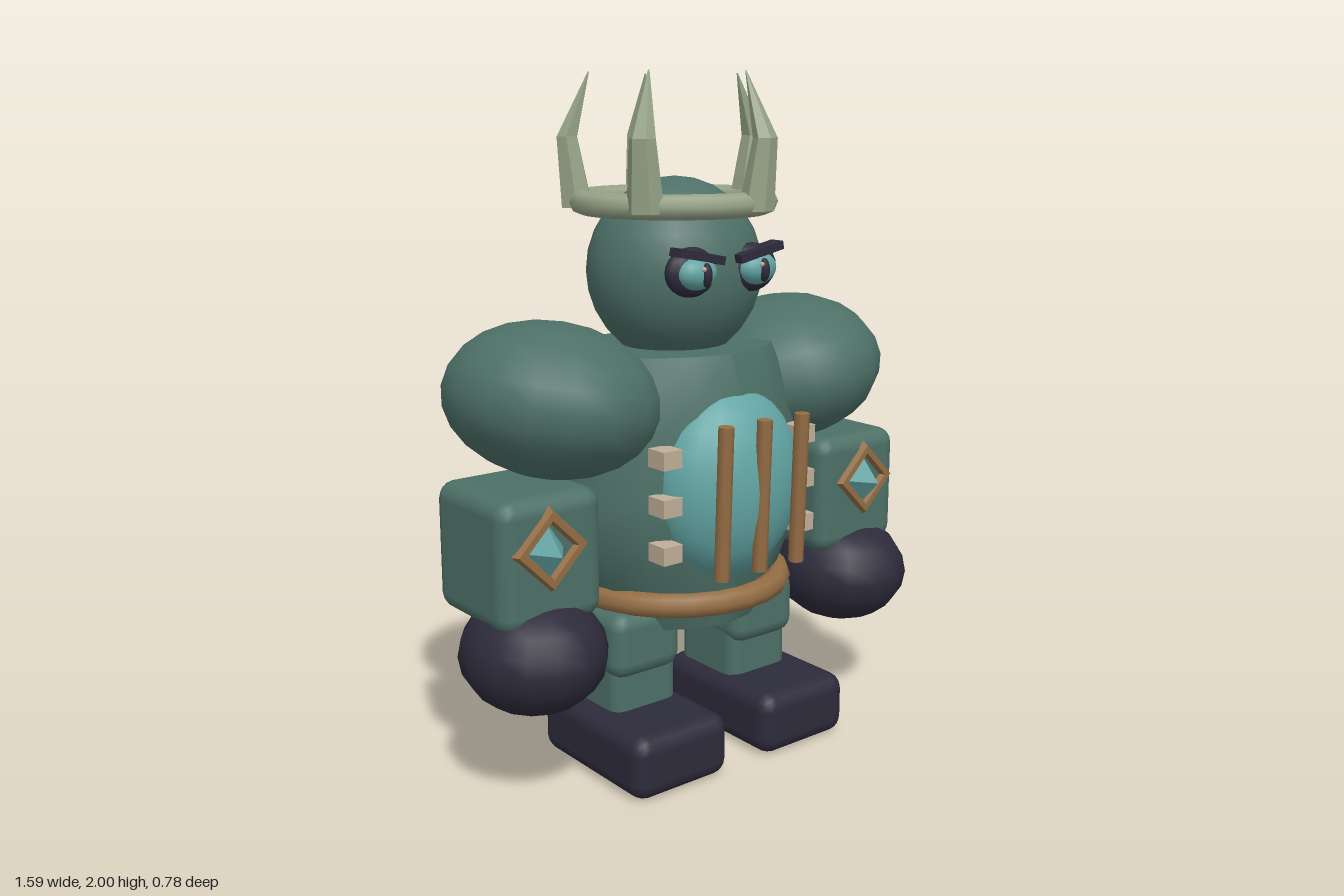
import * as THREE from 'three';
import { RoundedBoxGeometry } from 'three/addons/geometries/RoundedBoxGeometry.js';

const paint = (name, color) => {
  const m = new THREE.MeshStandardMaterial({ color });
  m.name = name;
  return m;
};

// Cylinder reshaped ring by ring; each ring is [y, rx, rz, xOffset], bottom to top
function loft(rings, sides) {
  const g = new THREE.CylinderGeometry(1, 1, 1, sides, rings.length - 1);
  const p = g.attributes.position;
  for (let i = 0; i < p.count; i++) {
    const [y, rx, rz, dx = 0] = rings[Math.round((p.getY(i) + 0.5) * (rings.length - 1))];
    p.setXYZ(i, p.getX(i) * rx + dx, y, p.getZ(i) * rz);
  }
  g.computeVertexNormals();
  return g;
}

function faceted(g) {
  const f = g.index ? g.toNonIndexed() : g;
  f.computeVertexNormals();
  return f;
}

export function createModel() {
  const model = new THREE.Group();
  const skin = paint('deep green skin', 0x4d7067);
  const dark = paint('dark plum', 0x2d2b3b);
  const aqua = paint('turquoise', 0x62a5a4);
  const bronze = paint('bronze', 0x946d44);
  const horn = paint('pale green horn', 0x97a488);
  const cream = paint('cream', 0xc0ae98);

  function add(name, geometry, material, x, y, z, parent = model) {
    const m = new THREE.Mesh(geometry, material);
    m.name = name;
    m.position.set(x, y, z);
    parent.add(m);
    return m;
  }
  function ball(name, material, x, y, z, rx, ry, rz, w = 16, h = 12) {
    const m = add(name, new THREE.SphereGeometry(1, w, h), material, x, y, z);
    m.scale.set(rx, ry, rz);
    return m;
  }
  const block = (name, material, x, y, z, w, h, d, r) =>
    add(name, new RoundedBoxGeometry(w, h, d, 2, r), material, x, y, z);

  // Torso, belt and head
  add('torso', loft([
    [0.42, 0.255, 0.25], [0.56, 0.34, 0.285], [0.70, 0.405, 0.318], [0.82, 0.41, 0.322],
    [1.0, 0.385, 0.315], [1.12, 0.355, 0.30], [1.225, 0.31, 0.26],
  ], 16), skin, 0, 0, -0.035);
  add('belt', new THREE.TorusGeometry(0.315, 0.037, 8, 24), bronze, 0, 0.517, -0.035)
    .rotation.x = Math.PI / 2;
  ball('head', skin, 0, 1.44, -0.035, 0.265, 0.27, 0.245, 20, 14);

  // Belly with three bars and side studs
  ball('belly', aqua, 0, 0.85, 0.2, 0.245, 0.285, 0.172, 20, 14);
  for (const x of [-0.14, 0, 0.14]) {
    add('bellyBar', new THREE.CylinderGeometry(0.022, 0.022, 0.44, 8), bronze, x, 0.84, 0.36)
      .rotation.x = 0.035;
  }

  // Crown ring with five bent horns
  const crown = new THREE.Group();
  crown.name = 'crown';
  crown.position.set(0, 0, -0.04);
  model.add(crown);
  add('crownRing', new THREE.TorusGeometry(0.268, 0.035, 8, 28), horn, 0, 1.637, 0, crown)
    .rotation.x = Math.PI / 2;
  const hornShape = faceted(loft([
    [1.62, 0.05, 0.054, 0.277], [1.82, 0.033, 0.038, 0.304], [2.0, 0.002, 0.002, 0.24],
  ], 6));
  for (let i = 0; i < 5; i++) {
    add('crownHorn', hornShape, horn, 0, 0, 0, crown).rotation.y = i * Math.PI * 0.4;
  }

  for (const s of [-1, 1]) {
    // Arm
    ball('shoulder', skin, s * 0.432, 1.107, -0.04, 0.308, 0.22, 0.32).rotation.z = s * 0.2;
    block('forearm', skin, s * 0.575, 0.715, 0, 0.33, 0.37, 0.36, 0.05);
    ball('fist', dark, s * 0.59, 0.44, 0.085, 0.205, 0.167, 0.218, 14, 10);

    // Diamond ornament on the forearm
    add('diamondFrame', faceted(new THREE.TorusGeometry(0.095, 0.025, 6, 4)), bronze,
      s * 0.59, 0.757, 0.175);
    const gem = add('diamondGem', faceted(new THREE.ConeGeometry(1, 1, 4)), aqua,
      s * 0.59 - 0.015, 0.757, 0.21);
    gem.scale.set(0.07, 0.1, 0.105);
    gem.rotation.x = Math.PI / 2;
    gem.scale.set(0.07, 0.1, 0.105);

    // Leg
    block('thigh', skin, s * 0.225, 0.39, -0.02, 0.245, 0.2, 0.32, 0.05);
    block('shin', skin, s * 0.22, 0.24, -0.015, 0.23, 0.24, 0.26, 0.04);
    block('shoe', dark, s * 0.235, 0.095, 0.068, 0.335, 0.19, 0.495, 0.05);

    // Studs beside the belly
    for (const y of [0.965, 0.83, 0.695]) {
      add('bellyStud', new THREE.BoxGeometry(0.065, 0.052, 0.07), cream, s * 0.25, y, 0.24);
    }

    // Eye: socket, iris, slit pupil, glint and slanted brow
    ball('eyeSocket', dark, s * 0.11, 1.458, 0.178, 0.088, 0.07, 0.04);
    ball('iris', aqua, s * 0.11, 1.457, 0.2, 0.066, 0.047, 0.045);
    ball('pupil', dark, s * 0.105, 1.455, 0.24, 0.014, 0.034, 0.018, 8, 8);
    ball('eyeGlint', cream, s * 0.105 - 0.014, 1.472, 0.246, 0.007, 0.007, 0.007, 8, 6);
    add('brow', new THREE.BoxGeometry(0.16, 0.024, 0.05), dark, s * 0.108, 1.504, 0.205)
      .rotation.z = s * 0.2;
  }
  return model;
}
